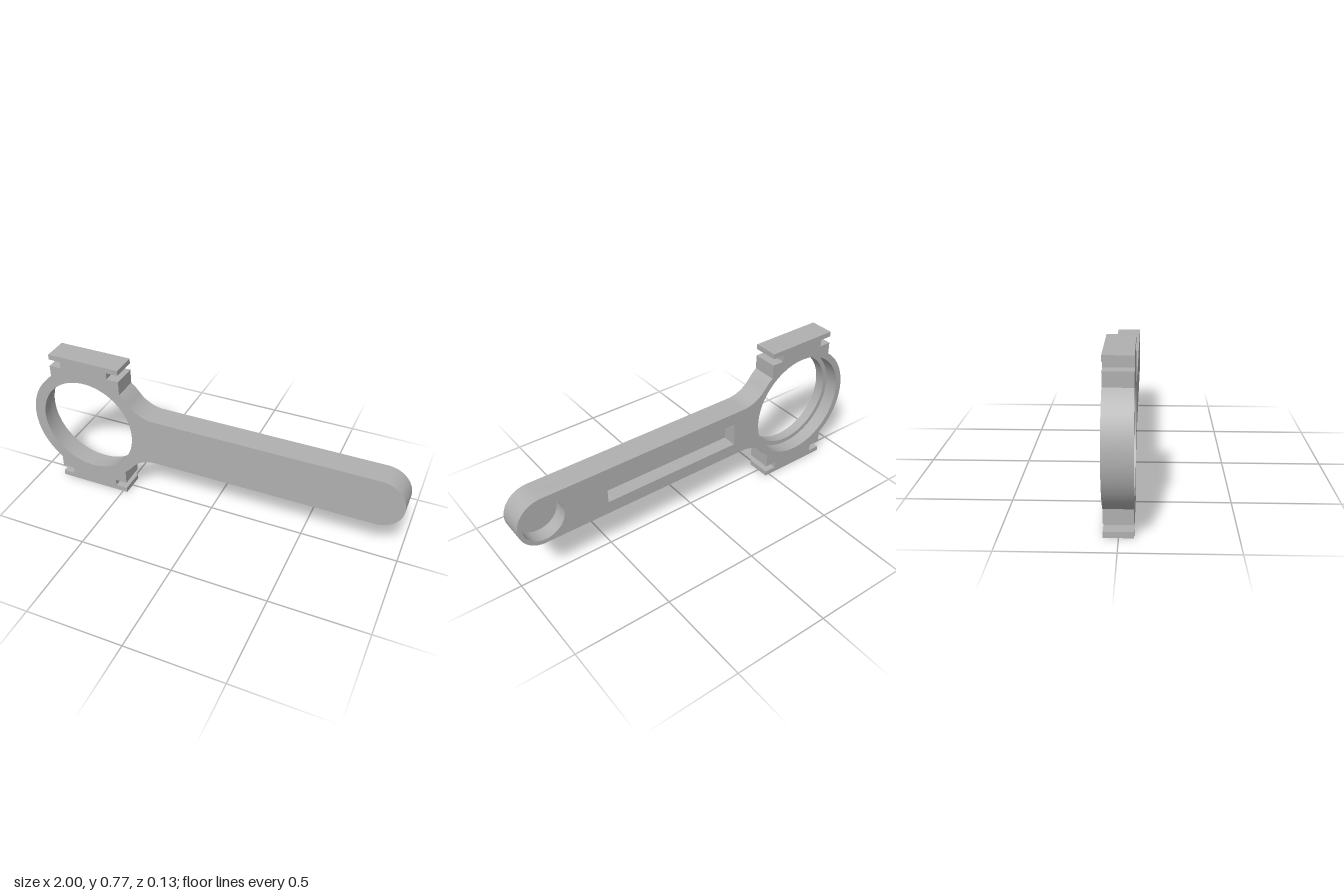
import * as THREE from 'three';
import { toCreasedNormals } from 'three/addons/utils/BufferGeometryUtils.js';

const Y = 0.3875;            // height of the centre line
const RING_X = -0.68;        // big end centre
const END_X = 0.87;          // small end centre
const HALF = 0.065;          // half thickness
const SEAM = 0.01;           // depth at which the rear recesses stop
const BORE = 0.26, COUNTERBORE = 0.285, SOCKET = 0.108;
const POCKET = { x0: -0.233, x1: 0.533, h: 0.063 };

// Silhouette: ring, two slotted clamp blocks, filleted arm and round end
function outline() {
  const s = new THREE.Shape();
  const R = 0.32, arm = 0.13, fil = 0.175, fx = -0.29, fy = arm + fil;
  const blockL = -0.87, blockR = -0.475, slotL = -0.805, slotR = -0.54;
  const ys = [0.3225, 0.3595, 0.3875]; // slot bottom, slot top, block top
  const tangent = Math.atan2(fy, fx - RING_X);
  const right = Math.acos((blockR - RING_X) / R);
  const left = Math.acos((blockL - RING_X) / R);
  const half = Math.PI / 2;
  const block = [
    [blockR, ys[0]], [slotR, ys[0]], [slotR, ys[1]], [blockR, ys[1]], [blockR, ys[2]],
    [blockL, ys[2]], [blockL, ys[1]], [slotL, ys[1]], [slotL, ys[0]], [blockL, ys[0]],
  ];
  s.moveTo(fx, Y - arm);
  s.lineTo(END_X, Y - arm);
  s.absarc(END_X, Y, arm, -half, half, false);
  s.lineTo(fx, Y + arm);
  s.absarc(fx, Y + fy, fil, -half, tangent - Math.PI, true);
  s.absarc(RING_X, Y, R, tangent, right, false);
  block.forEach(([x, y]) => s.lineTo(x, Y + y));
  s.absarc(RING_X, Y, R, left, 2 * Math.PI - left, false);
  [...block].reverse().forEach(([x, y]) => s.lineTo(x, Y - y));
  s.absarc(RING_X, Y, R, -right, -tangent, false);
  s.absarc(fx, Y - fy, fil, Math.PI - tangent, half, true);
  return s;
}

function circleHole(x, r) {
  return new THREE.Path().absarc(x, Y, r, 0, Math.PI * 2, true);
}

// Extrude between two depths and drop the cap lying on the hidden seam
function layer(holes, z0, z1) {
  const shape = outline();
  shape.holes.push(...holes);
  const solid = new THREE.ExtrudeGeometry(shape, { depth: z1 - z0, bevelEnabled: false, curveSegments: 40 });
  solid.translate(0, 0, z0);
  const p = solid.getAttribute('position');
  const kept = [];
  for (let i = 0; i < p.count; i += 3) {
    const onSeam = [0, 1, 2].every(k => Math.abs(p.getZ(i + k) - SEAM) < 1e-5);
    if (onSeam) continue;
    for (let k = 0; k < 3; k++) kept.push(p.getX(i + k), p.getY(i + k), p.getZ(i + k));
  }
  const g = new THREE.BufferGeometry();
  g.setAttribute('position', new THREE.Float32BufferAttribute(kept, 3));
  return toCreasedNormals(g, 0.5);
}

export function createModel() {
  const model = new THREE.Group();
  model.name = 'connectingRod';
  const grey = new THREE.MeshStandardMaterial({ color: 0xb0b0b0 });
  grey.name = 'grey metal';

  const add = (name, geometry) => {
    const mesh = new THREE.Mesh(geometry, grey);
    mesh.name = name;
    model.add(mesh);
    return mesh;
  };
  // Recess floors face the rear
  const addFloor = (name, geometry, x) => {
    const mesh = add(name, geometry);
    mesh.position.set(x, Y, SEAM);
    mesh.rotation.y = Math.PI;
  };

  // Front layer with the through bore
  add('frontBody', layer([circleHole(RING_X, BORE)], SEAM, HALF));

  // Rear layer with counterbore, long pocket and round socket
  const { x0, x1, h } = POCKET;
  const slot = new THREE.Path([[x0, -h], [x0, h], [x1, h], [x1, -h], [x0, -h]]
    .map(([x, y]) => new THREE.Vector2(x, Y + y)));
  add('rearBody', layer([circleHole(RING_X, COUNTERBORE), slot, circleHole(END_X, SOCKET)], -HALF, SEAM));

  // Floors of the three recesses
  addFloor('boreLip', new THREE.RingGeometry(BORE, COUNTERBORE, 80), RING_X);
  addFloor('pocketFloor', new THREE.PlaneGeometry(x1 - x0, 2 * h), (x0 + x1) / 2);
  addFloor('socketFloor', new THREE.CircleGeometry(SOCKET, 80), END_X);

  return model;
}
